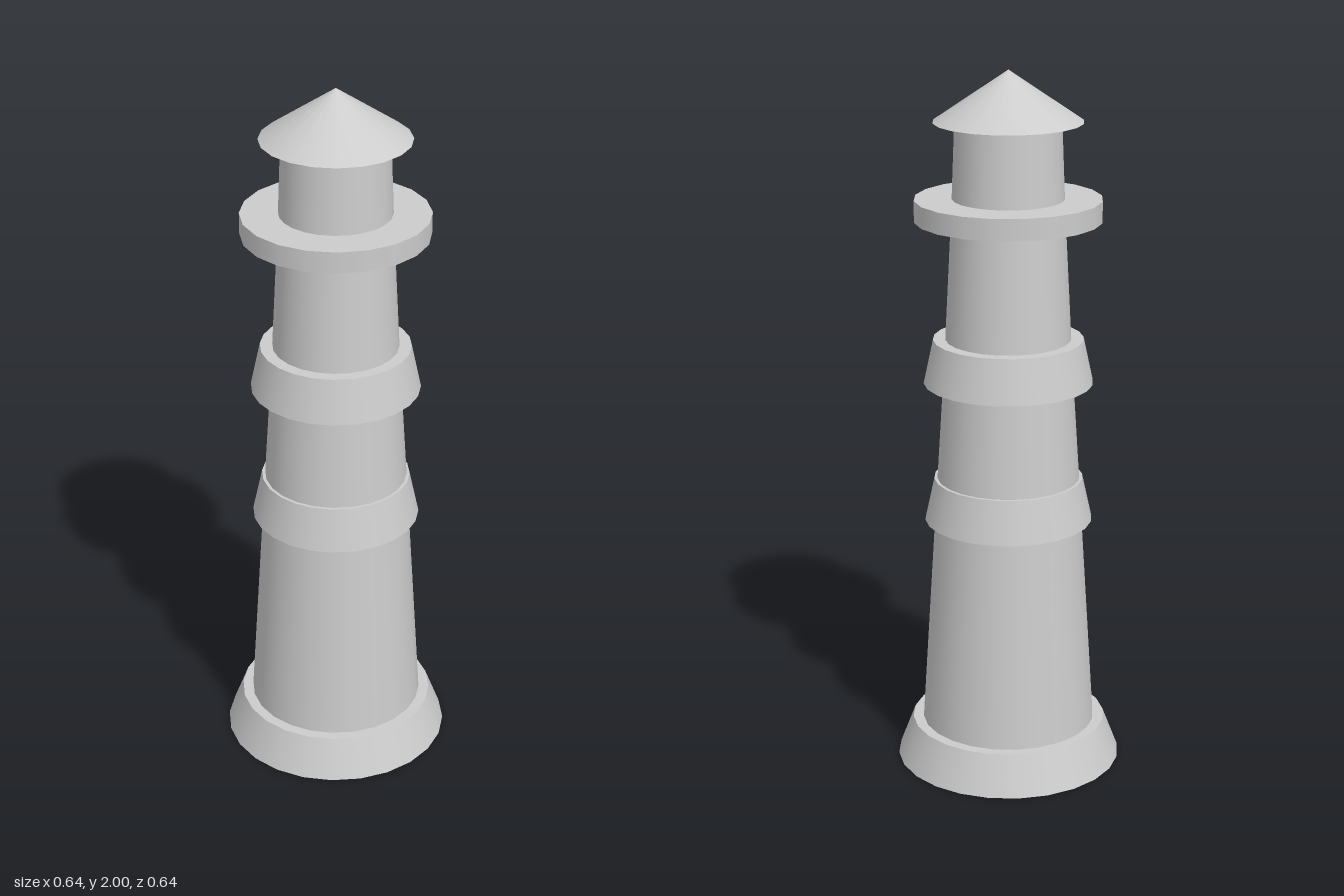
import * as THREE from 'three';

export function createModel() {
  const group = new THREE.Group();
  group.name = 'lighthouse';
  const stone = new THREE.MeshStandardMaterial({ color: 0xcccccc });
  stone.name = 'pale grey';

  // A round tapered part standing between two heights
  function ring(name, y0, y1, bottomRadius, topRadius, sides) {
    const geometry = new THREE.CylinderGeometry(topRadius, bottomRadius, y1 - y0, sides);
    const mesh = new THREE.Mesh(geometry, stone);
    mesh.name = name;
    mesh.position.y = (y0 + y1) / 2;
    group.add(mesh);
  }

  // Flared foot
  ring('base', 0, 0.115, 0.322, 0.278, 24);

  // Tapering tower, its joints hidden by the bands and gallery
  const tower = [[0.1, 0.249], [0.79, 0.205], [1.19, 0.179], [1.62, 0.156], [1.87, 0.146]];
  const names = ['lowerTower', 'middleTower', 'upperTower', 'lanternRoom'];
  names.forEach((name, i) => {
    const [y0, r0] = tower[i];
    const [y1, r1] = tower[i + 1];
    ring(name, y0, y1, r0, r1, 24);
  });

  // Two sloping bands around the tower
  ring('lowerBand', 0.727, 0.85, 0.237, 0.21, 24);
  ring('upperBand', 1.13, 1.255, 0.237, 0.21, 24);

  // Gallery and conical roof
  ring('gallery', 1.59, 1.65, 0.259, 0.259, 20);
  ring('roof', 1.86, 2, 0.206, 0, 20);

  return group;
}
